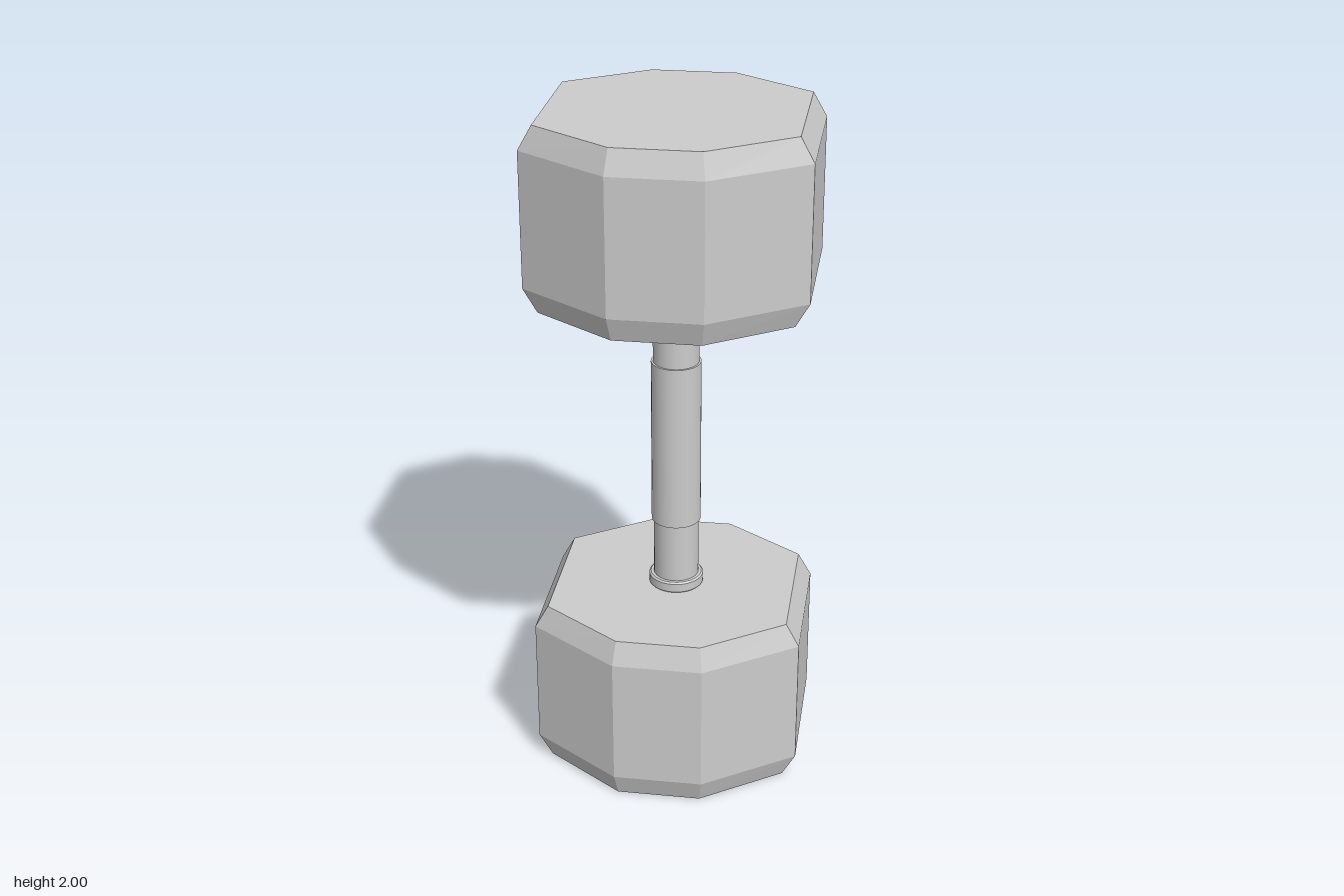
import * as THREE from 'three';

const material = new THREE.MeshStandardMaterial({ color: 0xcccccc });

// Octagon corners from its first-quadrant pair: (a, zMax) and (xMax, b)
function octagon(a, zMax, xMax, b) {
  return [[a, zMax], [xMax, b], [xMax, -b], [a, -zMax],
    [-a, -zMax], [-xMax, -b], [-xMax, b], [-a, zMax]];
}

// Flat-faced solid through a stack of rings, closed by fans at both ends
function loft(rings) {
  const n = rings[0].points.length;
  const pos = rings.flatMap(({ y, points }) => points.flatMap(([x, z]) => [x, y, z]));
  const index = [];
  for (let r = 0; r < rings.length - 1; r++) {
    for (let i = 0; i < n; i++) {
      const j = (i + 1) % n;
      const a = r * n + i, b = r * n + j;
      index.push(a, b, b + n, a, b + n, a + n);
    }
  }
  const top = (rings.length - 1) * n;
  for (let i = 1; i < n - 1; i++) {
    index.push(0, i + 1, i, top, top + i, top + i + 1);
  }
  const indexed = new THREE.BufferGeometry();
  indexed.setAttribute('position', new THREE.Float32BufferAttribute(pos, 3));
  indexed.setIndex(index);
  const geometry = indexed.toNonIndexed();
  geometry.computeVertexNormals();
  return geometry;
}

function add(group, name, geometry, y) {
  const mesh = new THREE.Mesh(geometry, material);
  mesh.name = name;
  mesh.position.y = y;
  group.add(mesh);
}

export function createModel() {
  const model = new THREE.Group();
  model.name = 'dumbbell';

  // Eight-sided weights with chamfered ends
  const outer = octagon(0.13, 0.393, 0.393, 0.213);
  const inner = octagon(0.122, 0.369, 0.354, 0.208);
  const head = loft([
    { y: -0.265, points: inner },
    { y: -0.195, points: outer },
    { y: 0.195, points: outer },
    { y: 0.265, points: inner },
  ]);

  // Collar ring with softened rims
  const collar = new THREE.LatheGeometry([
    [0.06, -0.018], [0.076, -0.018], [0.076, -0.018], [0.081, -0.013], [0.081, -0.013],
    [0.081, 0.013], [0.081, 0.013], [0.076, 0.018], [0.076, 0.018], [0.06, 0.018],
  ].map(([x, y]) => new THREE.Vector2(x, y)), 32);

  for (const [side, s] of [['lower', -1], ['upper', 1]]) {
    add(model, side + 'Weight', head, 1 + s * 0.735);
    add(model, side + 'Collar', collar, 1 + s * 0.453);
  }

  // Bar and the thicker hand grip around its middle
  add(model, 'bar', new THREE.CylinderGeometry(0.067, 0.067, 0.98, 32, 1, true), 1);
  add(model, 'grip', new THREE.CylinderGeometry(0.073, 0.073, 0.51, 32), 1.003);

  return model;
}
